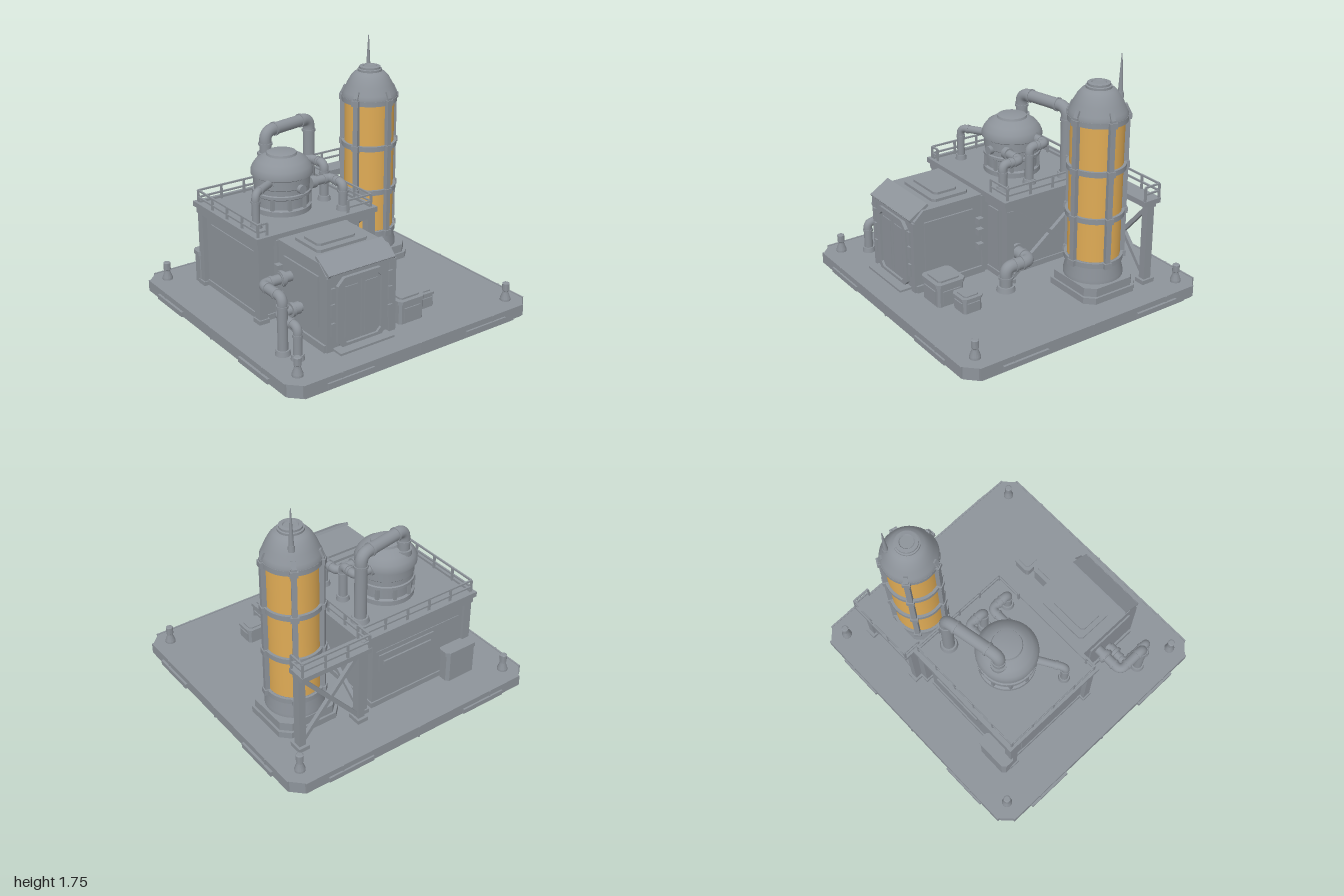
import * as THREE from 'three';
import { toCreasedNormals } from 'three/addons/utils/BufferGeometryUtils.js';

const steel = new THREE.MeshStandardMaterial({ color: 0x8d939a });
steel.name = 'steel grey';
const amber = new THREE.MeshStandardMaterial({ color: 0xdfab55 });
amber.name = 'amber glass';
const V = (x, y, z) => new THREE.Vector3(x, y, z);

export function createModel() {
  const root = new THREE.Group();
  root.name = 'processingPlant';

  const add = (name, geo, x = 0, y = 0, z = 0, mat = steel) => {
    const m = new THREE.Mesh(geo, mat);
    m.name = name;
    m.position.set(x, y, z);
    root.add(m);
    return m;
  };
  // box given by its bounds
  const box = (name, x0, x1, y0, y1, z0, z1) =>
    add(name, new THREE.BoxGeometry(x1 - x0, y1 - y0, z1 - z0), (x0 + x1) / 2, (y0 + y1) / 2, (z0 + z1) / 2);
  const cyl = (name, r0, r1, h, x, y, z, n = 24) =>
    add(name, new THREE.CylinderGeometry(r1, r0, h, n), x, y + h / 2, z);
  const lathe = (name, pts, x, z, n = 40, mat = steel) =>
    add(name, toCreasedNormals(new THREE.LatheGeometry(pts.map(p => new THREE.Vector2(...p)), n), 0.5), x, 0, z, mat);
  // rectangle with cut corners
  const chamfered = (w, h, c, T = THREE.Shape) => {
    const a = w / 2, b = h / 2;
    return new T([[a, -b + c], [a, b - c], [a - c, b], [-a + c, b], [-a, b - c], [-a, -b + c], [-a + c, -b], [a - c, -b]]
      .map(p => new THREE.Vector2(...p)));
  };
  const prism = (name, w, d, c, y0, y1, x, z) => {
    const g = new THREE.ExtrudeGeometry(chamfered(w, d, c), { depth: y1 - y0, bevelEnabled: false });
    return add(name, g.rotateX(-Math.PI / 2), x, y0, z);
  };
  // square beam between two points
  const beam = (name, a, b, t) => {
    const m = add(name, new THREE.BoxGeometry(t, t, a.distanceTo(b)));
    m.position.copy(a).add(b).multiplyScalar(0.5);
    m.lookAt(b);
    return m;
  };
  // ring around a pipe, facing along dir
  const collar = (p, dir, r, h) => {
    const m = add('pipeCollar', new THREE.CylinderGeometry(r, r, h, 20));
    m.position.copy(p);
    m.quaternion.setFromUnitVectors(V(0, 1, 0), dir.clone().normalize());
  };
  // pipe with rounded bends and collars at bends and ends
  const pipe = (name, pts, r, bend) => {
    const path = new THREE.CurvePath();
    let last = pts[0];
    for (let i = 1; i < pts.length - 1; i++) {
      const dIn = pts[i].clone().sub(pts[i - 1]).normalize();
      const dOut = pts[i + 1].clone().sub(pts[i]).normalize();
      const a = pts[i].clone().addScaledVector(dIn, -bend), b = pts[i].clone().addScaledVector(dOut, bend);
      path.add(new THREE.LineCurve3(last, a));
      path.add(new THREE.QuadraticBezierCurve3(a, pts[i].clone().addScaledVector(dIn, 0.01).addScaledVector(dOut, -0.01), b));
      collar(a, dIn, r * 1.15, 0.015);
      collar(b, dOut, r * 1.15, 0.015);
      last = b;
    }
    const end = pts[pts.length - 1];
    path.add(new THREE.LineCurve3(last, end));
    add(name, new THREE.TubeGeometry(path, 64, r, 16, false));
    collar(pts[0], pts[1].clone().sub(pts[0]), r * 1.35, 0.04);
    cyl('pipeFlange', r * 1.5, r * 1.3, 0.035, end.x, end.y, end.z);
  };
  // two-rail handrail along a polyline
  const railing = (pts, y, h, n) => {
    for (let i = 0; i < pts.length - 1; i++) {
      const [a, b] = [pts[i], pts[i + 1]].map(p => V(p[0], y, p[1]));
      for (const k of [0.5, 1]) beam('handrail', a.clone().setY(y + h * k), b.clone().setY(y + h * k), 0.012);
      const count = Math.max(1, Math.round(a.distanceTo(b) / n));
      for (let j = 0; j <= count; j++) {
        const p = a.clone().lerp(b, j / count);
        box('railPost', p.x - 0.007, p.x + 0.007, y, y + h, p.z - 0.007, p.z + 0.007);
      }
    }
  };

  // ---- base slab
  prism('baseFoot', 1.88, 1.82, 0.08, 0, 0.035, 0, 0);
  prism('baseSlab', 1.95, 1.89, 0.08, 0.035, 0.12, 0, 0);
  for (const s of [-1, 1]) {
    box('edgeTrim', -0.9, 0.9, 0.045, 0.124, s * 0.947 - 0.006, s * 0.947 + 0.006);
    box('edgeTrim', s * 0.977 - 0.006, s * 0.977 + 0.006, 0.045, 0.124, -0.87, 0.87);
    for (const t of [-1, 1]) {
      box('edgePanel', t * 0.555 - 0.175, t * 0.555 + 0.175, 0.05, 0.085, s * 0.958 - 0.008, s * 0.958 + 0.008);
      box('edgePanel', s * 0.99 - 0.01, s * 0.99 + 0.01, 0.05, 0.085, t * 0.535 - 0.17, t * 0.535 + 0.17);
      lathe('bollard', [[0.036, 0.12], [0.036, 0.135], [0.02, 0.18], [0.02, 0.19], [0.025, 0.195], [0.025, 0.245], [0.018, 0.25], [0, 0.25]],
        s * 0.857, t * 0.822, 16);
    }
    for (const k of [-0.62, 0, 0.62]) {
      box('edgeJoint', k - 0.006, k + 0.006, 0.04, 0.124, s * 0.95 - 0.008, s * 0.95 + 0.008);
      box('edgeJoint', s * 0.98 - 0.008, s * 0.98 + 0.008, 0.04, 0.124, k - 0.006, k + 0.006);
    }
  }

  // ---- main building
  box('mainWalls', -0.66, 0.13, 0.12, 0.66, -0.61, 0.12);
  box('wallFooting', -0.67, 0.14, 0.12, 0.16, -0.62, 0.13);
  box('roofSlab', -0.7, 0.24, 0.655, 0.72, -0.64, 0.155);
  for (const s of [-1, 1]) {
    box('roofLip', -0.715, 0.25, 0.7, 0.737, s * 0.4 - 0.255, s * 0.4 - 0.23);
    box('roofLip', s * 0.47 - 0.244, s * 0.47 - 0.222, 0.7, 0.737, -0.65, 0.165);
  }
  for (const z of [-0.6, 0.12]) {
    for (const x of [-0.665, 0.215]) {
      box('cornerPost', x - 0.03, x + 0.03, 0.12, 0.66, z - 0.03, z + 0.03);
      box('postFoot', x - 0.04, x + 0.04, 0.12, 0.15, z - 0.04, z + 0.04);
    }
  }
  for (const s of [0, 1]) {
    beam('sideBrace', V(0.215, s ? 0.66 : 0.14, 0.1), V(0.215, s ? 0.14 : 0.66, -0.58), 0.028);
  }
  box('frontWallPanel', 0.0, 0.11, 0.2, 0.62, 0.12, 0.13);
  box('backPanel', -0.38, 0.08, 0.4, 0.53, -0.62, -0.61);
  box('backSlat', -0.35, 0.05, 0.45, 0.48, -0.632, -0.62);
  box('backSeam', -0.6, 0.1, 0.56, 0.568, -0.615, -0.61);
  box('leftWallPanel', -0.668, -0.66, 0.2, 0.6, -0.5, 0.05);
  prism('backCabinet', 0.25, 0.1, 0.02, 0.12, 0.33, -0.575, -0.655);
  prism('backCabinetLid', 0.27, 0.11, 0.025, 0.33, 0.36, -0.575, -0.655);
  railing([[0.03, 0.13], [0.222, 0.13], [0.222, -0.62], [-0.69, -0.62], [-0.69, 0.14], [-0.62, 0.14]], 0.72, 0.1, 0.17);

  // ---- entrance room
  const side = new THREE.Shape([[0.1, 0.12], [0.7, 0.12], [0.7, 0.64], [0.63, 0.705], [0.1, 0.705]].map(p => new THREE.Vector2(-p[0], p[1])).reverse());
  const room = add('entranceRoom', new THREE.ExtrudeGeometry(side, { depth: 0.54, bevelEnabled: false }).rotateY(Math.PI / 2), -0.56);
  room.position.z = 0;
  prism('hatchFrame', 0.39, 0.28, 0.02, 0.7, 0.725, -0.285, 0.37);
  prism('hatchLid', 0.3, 0.18, 0.02, 0.725, 0.742, -0.295, 0.37);
  for (const [x, s] of [[-0.56, -1], [-0.02, 1]]) {
    box('roomSidePanel', x - 0.012, x + 0.012, 0.27, 0.62, 0.25, 0.63);
    box('roomSkirt', x - 0.015, x + 0.015, 0.12, 0.17, 0.16, 0.7);
    box('roomEdgeRib', x - 0.015, x + 0.015, 0.17, 0.7, 0.155, 0.18);
    for (const y of [0.31, 0.42, 0.5]) box('wallBox', x + s * 0.02 - 0.02, x + s * 0.02 + 0.02, y, y + 0.045, 0.18, 0.225);
  }
  const visor = box('visor', -0.555, -0.04, 0.677, 0.697, 0.57, 0.735);
  visor.rotation.x = 0.55;
  box('visorLip', -0.54, -0.05, 0.625, 0.655, 0.69, 0.725);
  const frame = chamfered(0.38, 0.49, 0.05);
  frame.holes.push(chamfered(0.3, 0.42, 0.03, THREE.Path));
  add('doorFrame', new THREE.ExtrudeGeometry(frame, { depth: 0.03, bevelEnabled: false }), -0.295, 0.365, 0.695);
  for (const s of [-1, 1]) {
    const x = -0.295 + s * 0.077;
    box('doorLeaf', x - 0.073, x + 0.073, 0.14, 0.58, 0.695, 0.708);
    box('doorPanel', x - 0.05, x + 0.05, 0.18, 0.54, 0.708, 0.714);
    box('frontPillar', -0.29 + s * 0.245 - 0.025, -0.29 + s * 0.245 + 0.025, 0.12, 0.63, 0.69, 0.712);
    for (const y of [0.23, 0.36, 0.47]) box('doorSideGrip', -0.295 + s * 0.225 - 0.015, -0.295 + s * 0.225 + 0.015, y, y + 0.09, 0.71, 0.724);
  }
  box('doorStep', -0.51, -0.085, 0.12, 0.135, 0.7, 0.79);

  // ---- roof vessel
  const tx = -0.25, tz = -0.245;
  lathe('roofVessel', [[0.2, 0.72], [0.2, 0.755], [0.185, 0.765], [0.185, 0.83], [0.2, 0.84], [0.2, 0.86], [0.19, 0.865], [0.19, 0.9],
    [0.195, 0.905], [0.195, 0.965], [0.212, 0.975], [0.212, 1.0], [0.2, 1.03], [0.17, 1.07], [0.12, 1.1], [0.105, 1.103], [0.1, 1.118], [0.075, 1.125], [0, 1.125]], tx, tz);
  for (let i = 0; i < 10; i++) {
    const a = i * Math.PI / 5;
    box('vesselRib', -0.012, 0.012, 0.76, 0.84, -0.012, 0.012).position.set(tx + Math.cos(a) * 0.187, 0.8, tz + Math.sin(a) * 0.187);
  }
  collar(V(tx + 0.02, 0.905, tz + 0.195), V(0.1, 0, 1), 0.03, 0.05);
  pipe('mainTransferPipe', [V(-0.3, 1.07, -0.365), V(-0.3, 1.235, -0.365), V(0.11, 1.235, -0.445), V(0.11, 0.73, -0.445)], 0.042, 0.085);
  pipe('leftVentPipe', [V(-0.4, 0.955, -0.155), V(-0.59, 0.955, -0.04), V(-0.59, 0.72, -0.04)], 0.027, 0.06);
  pipe('frontVentPipe', [V(-0.1, 0.91, -0.1), V(0.05, 0.91, -0.1), V(0.05, 0.91, 0.045), V(0.05, 0.725, 0.045)], 0.031, 0.055);
  pipe('rightVentPipe', [V(-0.08, 0.985, -0.31), V(0.05, 0.985, -0.31), V(0.05, 0.985, -0.175), V(0.05, 0.725, -0.175)], 0.031, 0.055);

  // ---- ground pipes
  pipe('rightGroundPipe', [V(0.13, 0.285, -0.01), V(0.29, 0.285, -0.01), V(0.29, 0.285, 0.19), V(0.29, 0.12, 0.19)], 0.044, 0.07);
  pipe('upperLeftPipe', [V(-0.64, 0.51, 0.33), V(-0.785, 0.51, 0.33), V(-0.785, 0.51, 0.555), V(-0.785, 0.12, 0.555)], 0.034, 0.06);
  pipe('lowerLeftPipe', [V(-0.61, 0.34, 0.445), V(-0.745, 0.34, 0.445), V(-0.745, 0.34, 0.66), V(-0.745, 0.12, 0.66)], 0.03, 0.055);
  for (const [y, z, r] of [[0.51, 0.33, 0.034], [0.34, 0.445, 0.03]]) {
    collar(V(-0.61, y, z), V(1, 0, 0), r, 0.12);
    collar(V(-0.645, y, z), V(1, 0, 0), r * 1.6, 0.02);
  }

  // ---- storage crates
  for (const [x, z, w, d, h] of [[0.14, 0.59, 0.2, 0.2, 0.18], [0.34, 0.53, 0.135, 0.14, 0.12]]) {
    prism('crateBody', w, d, 0.015, 0.12, 0.12 + h * 0.82, x, z);
    prism('crateLid', w + 0.022, d + 0.022, 0.025, 0.12 + h * 0.8, 0.12 + h * 0.93, x, z);
    prism('crateLidTop', w * 0.8, d * 0.8, 0.015, 0.12 + h * 0.93, 0.12 + h, x, z);
    box('crateFrontPanel', x - w * 0.33, x + w * 0.33, 0.14, 0.12 + h * 0.62, z + d / 2, z + d / 2 + 0.008);
    box('crateSidePanel', x + w / 2, x + w / 2 + 0.008, 0.14, 0.12 + h * 0.62, z - d * 0.33, z + d * 0.33);
  }

  // ---- storage tower
  const sx = 0.56, sz = -0.335;
  prism('towerPlinth', 0.47, 0.44, 0.06, 0.12, 0.165, sx, sz);
  prism('towerPlinthTop', 0.44, 0.41, 0.06, 0.165, 0.225, sx, sz);
  lathe('towerFoot', [[0.2, 0.22], [0.2, 0.25], [0.18, 0.335], [0.18, 0.375], [0.17, 0.375]], sx, sz);
  lathe('amberTank', [[0.177, 0.37], [0.177, 1.32]], sx, sz, 40, amber);
  for (const y of [0.355, 0.675, 1.005, 1.335]) {
    lathe('towerHoop', [[0.175, y - 0.018], [0.197, y - 0.018], [0.197, y + 0.018], [0.175, y + 0.018]], sx, sz);
  }
  lathe('towerDome', [[0.17, 1.315], [0.195, 1.345], [0.195, 1.365], [0.185, 1.385], [0.163, 1.44], [0.135, 1.49], [0.11, 1.518], [0.085, 1.53],
    [0.085, 1.545], [0.075, 1.548], [0.075, 1.562], [0.05, 1.565], [0.045, 1.557], [0, 1.557]], sx, sz);
  for (let i = 0; i < 5; i++) {
    const a = (84 + i * 72) * Math.PI / 180;
    const at = (r, y) => V(sx + Math.cos(a) * r, y, sz + Math.sin(a) * r);
    const bar = box('towerBar', -0.016, 0.016, 0, 1.04, -0.018, 0.018);
    bar.position.copy(at(0.192, 0.85));
    bar.rotation.y = -a;
    for (const y of [0.355, 0.675, 1.005, 1.335]) {
      const clamp = box('barClamp', -0.018, 0.018, 0, 0.04, -0.027, 0.027);
      clamp.position.copy(at(0.198, y));
      clamp.rotation.y = -a;
    }
    beam('domeRib', at(0.192, 1.365), at(0.172, 1.41), 0.03);
  }
  cyl('antennaFoot', 0.024, 0.02, 0.04, 0.635, 1.46, -0.45, 12);
  cyl('antenna', 0.017, 0.003, 0.25, 0.635, 1.5, -0.45, 12);

  // ---- service platform behind the tower
  box('platformDeck', 0.235, 0.765, 0.7, 0.735, -0.73, -0.59);
  box('platformBeam', 0.245, 0.755, 0.675, 0.7, -0.7, -0.62);
  for (const x of [0.27, 0.735]) {
    box('platformLeg', x - 0.025, x + 0.025, 0.12, 0.7, -0.68, -0.62);
    box('platformFoot', x - 0.04, x + 0.04, 0.12, 0.15, -0.7, -0.6);
  }
  for (const s of [0, 1]) beam('platformBrace', V(0.27, s ? 0.68 : 0.15, -0.65), V(0.735, s ? 0.15 : 0.68, -0.65), 0.028);
  railing([[0.245, -0.6], [0.245, -0.72], [0.755, -0.72], [0.755, -0.6]], 0.735, 0.1, 0.17);

  return root;
}
